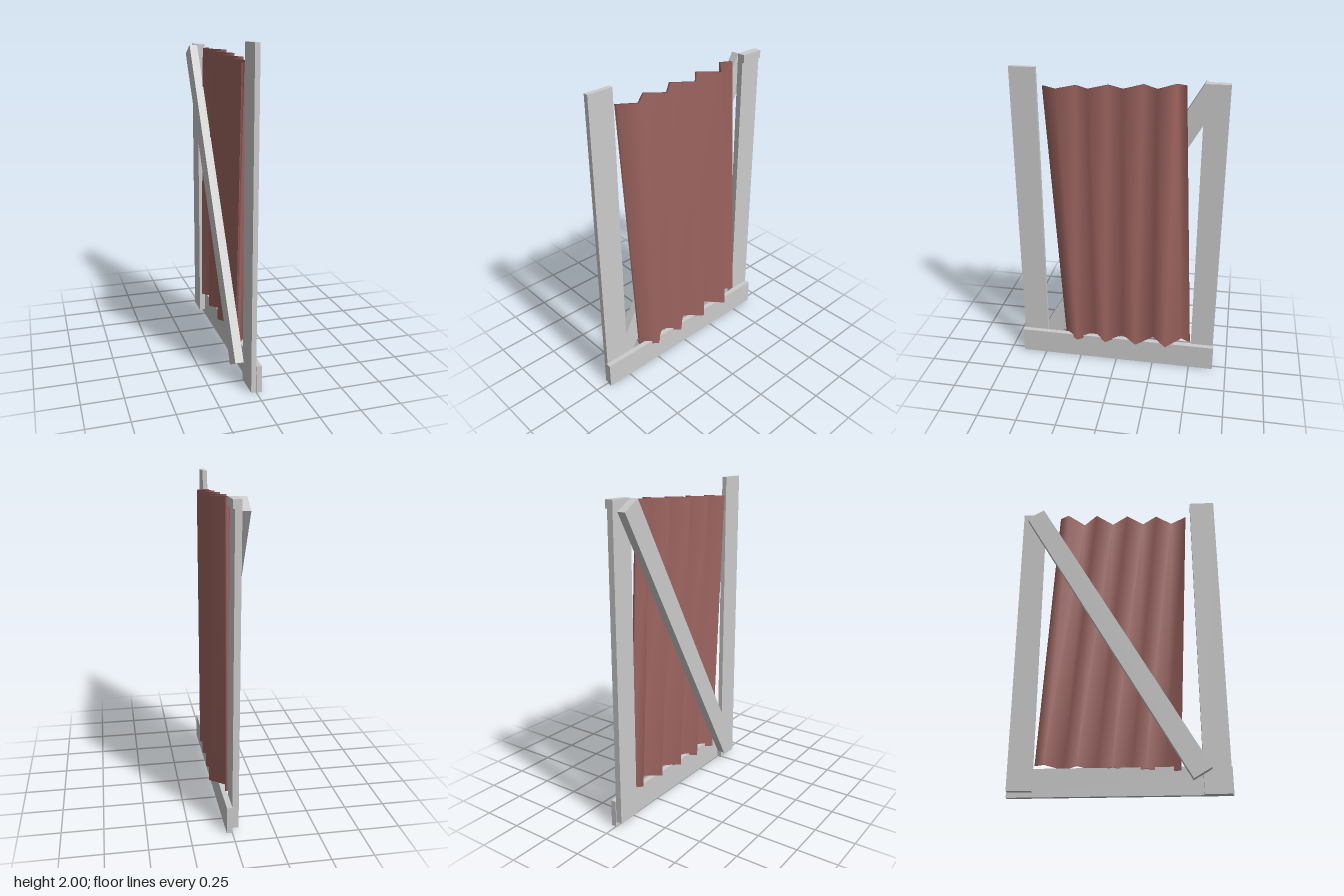
import * as THREE from 'three';

const grey = new THREE.MeshStandardMaterial({ color: 0xcccccc });
const red = new THREE.MeshStandardMaterial({ color: 0x9e6560 });

// Box given by its extents along each axis
function plank(name, [x0, x1], [y0, y1], [z0, z1]) {
  const mesh = new THREE.Mesh(new THREE.BoxGeometry(x1 - x0, y1 - y0, z1 - z0), grey);
  mesh.position.set((x0 + x1) / 2, (y0 + y1) / 2, (z0 + z1) / 2);
  mesh.name = name;
  return mesh;
}

// Leaning zigzag sheet: a thin closed loop swept from its lower to its upper edge
function sheetGeometry() {
  const fold = [
    [-0.03, 0.457], [0.05, 0.36], [-0.033, 0.257], [0.06, 0.165], [-0.034, 0.06],
    [0.068, -0.045], [-0.036, -0.15], [0.078, -0.245], [-0.036, -0.345], [0.005, -0.405],
  ];
  const half = 0.008, n = fold.length;
  const loop = [
    ...fold.map(([x, z]) => [x + half, z]),
    ...fold.map(([x, z]) => [x - half, z]).reverse(),
  ];
  const m = loop.length, pos = [], idx = [];
  for (const [x, z] of loop) {
    const y = 1.885 + (0.457 - z) * 0.0535;
    pos.push(x + 0.003, y - 1.743, z - 0.095, x, y, z);
  }
  const quad = (a, b, c, d) => idx.push(a, b, c, a, c, d);
  for (let i = 0; i < m; i++) {
    const j = (i + 1) % m;
    quad(2 * i, 2 * j, 2 * j + 1, 2 * i + 1);
  }
  // upper and lower rims
  for (let i = 0; i < n - 1; i++) {
    const a = 2 * i, b = a + 2, c = 2 * (m - 2 - i), d = c + 2;
    quad(a + 1, b + 1, c + 1, d + 1);
    quad(d, c, b, a);
  }
  const geo = new THREE.BufferGeometry();
  geo.setAttribute('position', new THREE.Float32BufferAttribute(pos, 3));
  geo.setIndex(idx);
  geo.computeVertexNormals();
  return geo;
}

export function createModel() {
  const group = new THREE.Group();
  group.name = 'fencePanel';

  // Upright posts, the rear one with a small cap
  group.add(plank('frontPost', [-0.03, 0], [0, 2], [0.49, 0.652]));
  group.add(plank('rearPost', [-0.038, 0], [0.03, 1.9], [-0.655, -0.507]));
  group.add(plank('rearPostCap', [-0.038, 0.012], [1.898, 1.947], [-0.655, -0.507]));

  // Rail along the ground
  group.add(plank('bottomRail', [0, 0.033], [0, 0.168], [-0.66, 0.66]));

  // Diagonal brace
  const brace = new THREE.Mesh(new THREE.BoxGeometry(0.052, 2.088, 0.127), grey);
  brace.position.set(-0.066, 1.011, -0.04);
  brace.rotation.x = -Math.atan2(1.05, 1.805);
  brace.name = 'diagonalBrace';
  group.add(brace);

  // Corrugated sheet
  const sheet = new THREE.Mesh(sheetGeometry(), red);
  sheet.name = 'corrugatedSheet';
  group.add(sheet);

  return group;
}
